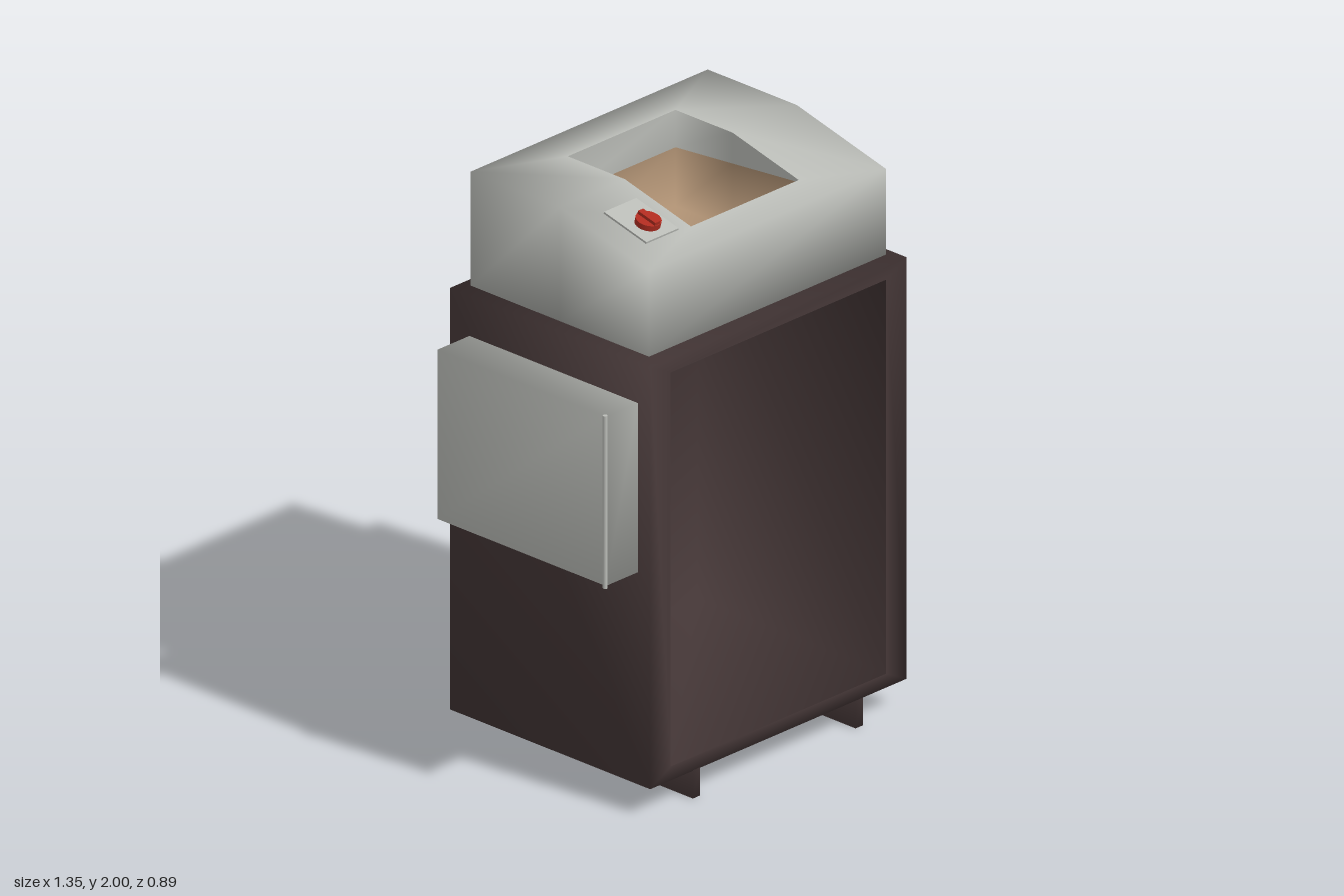
import * as THREE from 'three';
import { mergeVertices } from 'three/addons/utils/BufferGeometryUtils.js';

const mat = (name, color) => {
  const m = new THREE.MeshStandardMaterial({ color });
  m.name = name;
  return m;
};

// Weld the corners so the shading runs softly across the edges
function smooth(geo) {
  geo.deleteAttribute('uv');
  geo.deleteAttribute('normal');
  const g = mergeVertices(geo, 1e-4);
  g.computeVertexNormals();
  return g;
}

// Skin a row of loops (counter-clockwise seen from the end), with optional caps
function loft(loops, capStart, capEnd) {
  const p = [];
  const tri = (a, b, c) => p.push(...a, ...b, ...c);
  const cap = (l) => { for (let i = 1; i < l.length - 1; i++) tri(l[0], l[i], l[i + 1]); };
  for (let j = 0; j < loops.length - 1; j++) {
    const A = loops[j], B = loops[j + 1], n = A.length;
    for (let i = 0; i < n; i++) {
      const k = (i + 1) % n;
      tri(A[i], A[k], B[k]);
      tri(A[i], B[k], B[i]);
    }
  }
  if (capStart) cap([...loops[0]].reverse());
  if (capEnd) cap(loops[loops.length - 1]);
  const g = new THREE.BufferGeometry();
  g.setAttribute('position', new THREE.Float32BufferAttribute(p, 3));
  return smooth(g);
}

// Upright rectangle at a given z
const frontLoop = (x0, x1, y0, y1, z) => [[x0, y0, z], [x1, y0, z], [x1, y1, z], [x0, y1, z]];
// Flat rectangle with a mid point on each side, height given by a rule in z
const planLoop = (x0, x1, zb, zf, y) =>
  [[x0, zf], [x1, zf], [x1, 0], [x1, zb], [x0, zb], [x0, 0]].map(([x, z]) => [x, y(z), z]);

export function createModel() {
  const model = new THREE.Group();
  const dark = mat('dark brown metal', 0x463838);
  const grey = mat('light grey metal', 0xbbbdb8);
  const tan = mat('tan lining', 0xb09274);
  const red = mat('red knob', 0xb02c20);

  const add = (parent, name, geo, m, x = 0, y = 0, z = 0) => {
    const mesh = new THREE.Mesh(geo, m);
    mesh.name = name;
    mesh.position.set(x, y, z);
    parent.add(mesh);
    return mesh;
  };
  const box = (parent, name, m, x0, x1, y0, y1, z0, z1) =>
    add(parent, name, smooth(new THREE.BoxGeometry(x1 - x0, y1 - y0, z1 - z0)), m,
      (x0 + x1) / 2, (y0 + y1) / 2, (z0 + z1) / 2);

  // Cabinet, open at the front onto a deep compartment
  const opening = [-0.42, 0.58, 0.147, 1.54];
  add(model, 'cabinet', loft([
    frontLoop(-0.515, 0.675, 0.098, 1.588, -0.447),
    frontLoop(-0.515, 0.675, 0.098, 1.588, 0.447),
    frontLoop(...opening, 0.447),
  ], true, false), dark);
  add(model, 'compartment', loft([frontLoop(...opening, 0.447), frontLoop(...opening, -0.395)], false, true), dark);

  // Runners under the cabinet and pads under the hood
  for (const x of [-0.3, 0.455]) box(model, 'runner', dark, x - 0.017, x + 0.017, 0, 0.1, -0.447, 0.447);
  for (const x of [-0.272, 0.43])
    for (const z of [-0.25, 0.22]) box(model, 'hoodPad', dark, x - 0.047, x + 0.047, 1.58, 1.6, z - 0.09, z + 0.09);

  // Hood with a sloping front half and an open hopper
  const slope = 0.1 / 0.398;
  const top = (z) => 2 - Math.max(0, z) * slope;
  const seam = (z) => 1.891 + z * 0.09;
  const rim = [-0.168, 0.332, -0.255, 0.295];
  add(model, 'hood', loft([
    planLoop(-0.47, 0.63, -0.398, 0.398, () => 1.597),
    planLoop(-0.47, 0.63, -0.398, 0.398, top),
    planLoop(...rim, top),
  ], true, false), grey);
  add(model, 'hopperRim', loft([planLoop(...rim, top), planLoop(...rim, seam)], false, false), grey);
  add(model, 'hopperLining', loft([planLoop(...rim, seam), planLoop(...rim, () => 1.66)], false, true), tan);

  // Side box with its upright hinge rod
  box(model, 'sideBox', grey, -0.664, -0.515, 0.848, 1.446, -0.36, 0.392);
  add(model, 'hingeRod', new THREE.CylinderGeometry(0.008, 0.008, 0.61, 12), grey, -0.667, 1.147, 0.392);

  // Control plate and knob, tilted with the hood
  const control = new THREE.Group();
  control.name = 'control';
  control.position.set(-0.294, top(0.193), 0.193);
  control.rotation.x = Math.atan(slope);
  model.add(control);
  add(control, 'controlPlate', new THREE.BoxGeometry(0.15, 0.007, 0.195), grey, 0, 0.0035, 0);
  add(control, 'knobStem', new THREE.CylinderGeometry(0.02, 0.02, 0.008, 16), red, 0, 0.008, 0.028);
  add(control, 'knobDisc', new THREE.CylinderGeometry(0.043, 0.043, 0.02, 32), red, 0, 0.02, 0.028);
  add(control, 'knobGrip', new THREE.BoxGeometry(0.024, 0.012, 0.08), red, 0, 0.035, 0.028);

  return model;
}
